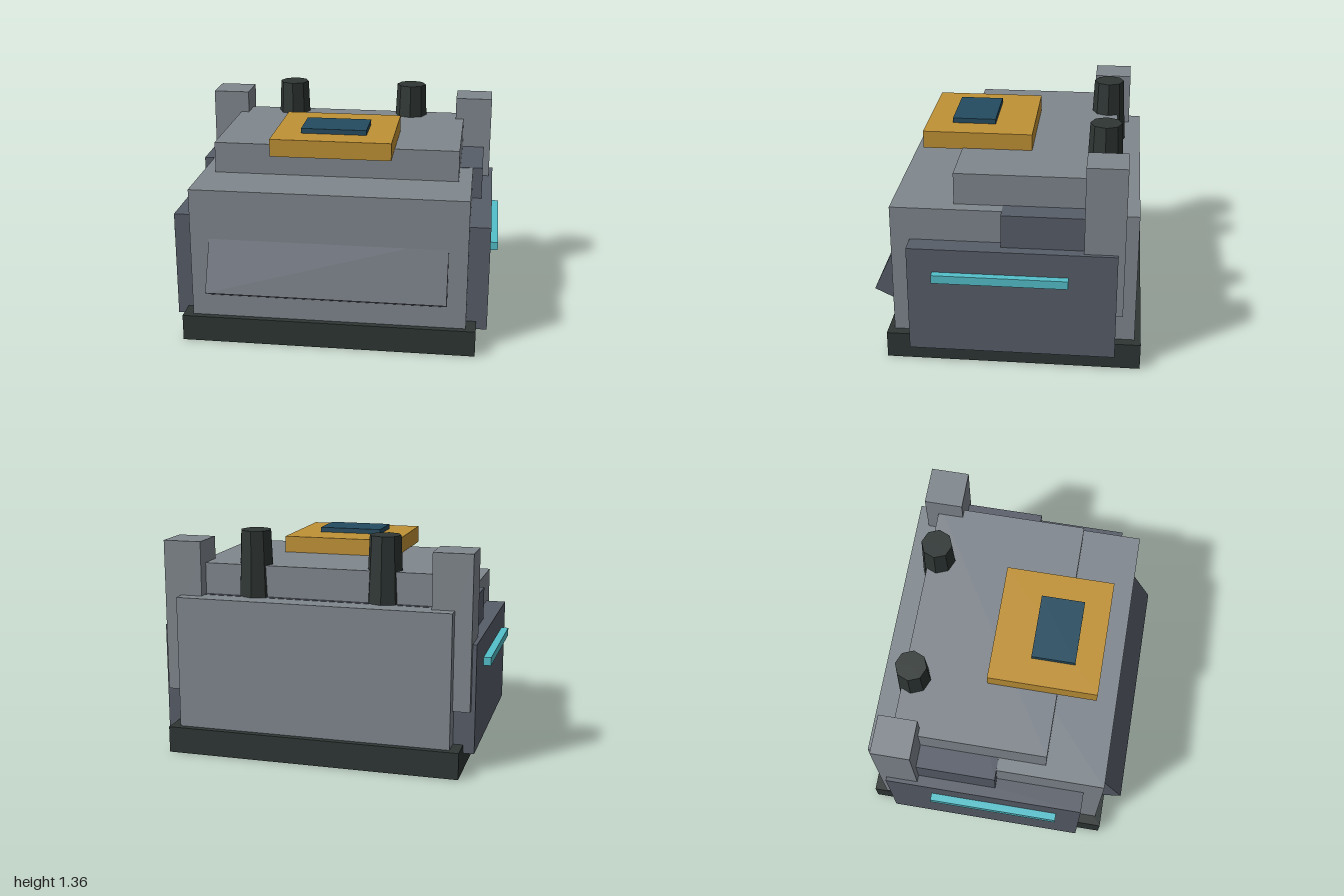
import * as THREE from 'three';

const mat = (name, color) => {
  const m = new THREE.MeshStandardMaterial({ color });
  m.name = name;
  return m;
};

export function createModel() {
  const model = new THREE.Group();
  model.name = 'building';

  const lightGrey = mat('light grey', 0x80878e);
  const slate = mat('slate grey', 0x585e69);
  const charcoal = mat('charcoal', 0x2e3634);
  const gold = mat('gold', 0xc09235);
  const cyan = mat('cyan', 0x54c0cb);
  const navy = mat('navy', 0x244c60);

  // Box given by its extents on each axis
  const box = (name, material, [x0, x1], [y0, y1], [z0, z1]) => {
    const mesh = new THREE.Mesh(new THREE.BoxGeometry(x1 - x0, y1 - y0, z1 - z0), material);
    mesh.position.set((x0 + x1) / 2, (y0 + y1) / 2, (z0 + z1) / 2);
    mesh.name = name;
    model.add(mesh);
  };

  // Stacked main volumes
  box('base', charcoal, [-0.89, 0.89], [0, 0.16], [-0.803, 0.705]);
  box('body', lightGrey, [-0.83, 0.83], [0.16, 0.96], [-0.765, 0.667]);
  box('crossBlock', slate, [-0.89, 0.89], [0.7, 0.962], [-0.64, 0.018]);
  box('upperDeck', lightGrey, [-0.75, 0.75], [0.96, 1.15], [-0.615, 0.305]);

  // Roof pad
  box('roofPad', gold, [-0.36, 0.36], [1.145, 1.25], [-0.115, 0.541]);
  box('roofHatch', navy, [-0.197, 0.197], [1.25, 1.28], [0.122, 0.384]);

  // Sloped front visor
  const profile = new THREE.Shape([
    new THREE.Vector2(-0.64, 0.714),
    new THREE.Vector2(-0.64, 0.281),
    new THREE.Vector2(-0.803, 0.361),
  ]);
  const visorGeometry = new THREE.ExtrudeGeometry(profile, { depth: 1.43, bevelEnabled: false });
  visorGeometry.translate(0, 0, -0.715).rotateY(Math.PI / 2);
  const visor = new THREE.Mesh(visorGeometry, slate);
  visor.name = 'frontVisor';
  // The profile runs along -x, which the turn maps to +z
  model.add(visor);

  // Mirrored side parts and chimneys
  for (const [side, s] of [['left', 1], ['right', -1]]) {
    const span = (a, b) => (s > 0 ? [a, b] : [-b, -a]);
    box(side + 'SidePanel', slate, span(0.8, 0.955), [0.11, 0.763], [-0.652, 0.555]);
    box(side + 'LightStrip', cyan, span(0.95, 1.0), [0.57, 0.62], [-0.376, 0.408]);
    box(side + 'CornerPillar', lightGrey, span(0.698, 0.931), [0.37, 1.288], [-0.691, -0.459]);

    const chimney = new THREE.Mesh(new THREE.CylinderGeometry(0.094, 0.112, 0.405, 8).toNonIndexed(), charcoal);
    chimney.geometry.computeVertexNormals();
    chimney.position.set(s * 0.395, 1.1525, -0.553);
    chimney.name = side + 'Chimney';
    model.add(chimney);
  }

  return model;
}
